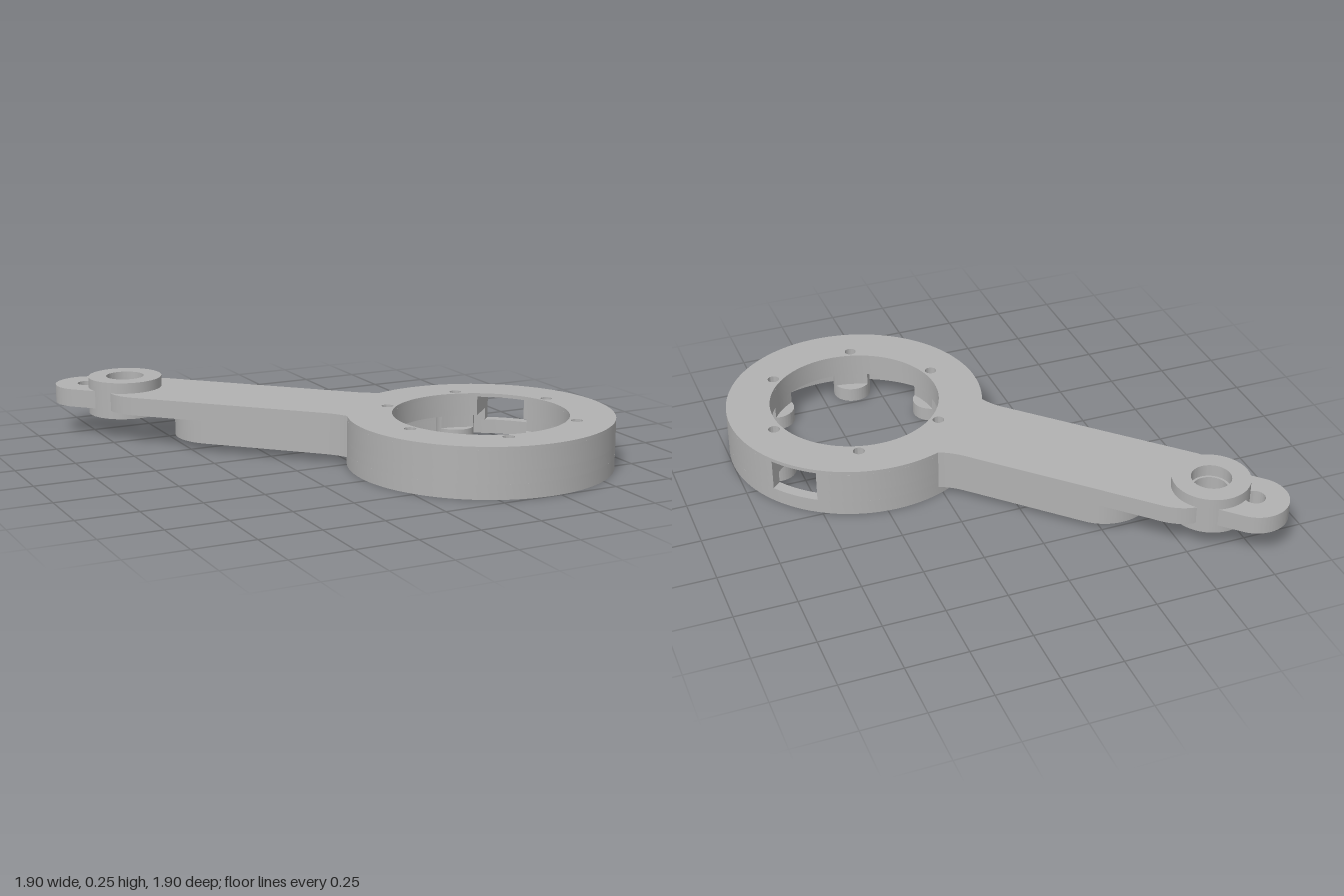
import * as THREE from 'three';
import { toCreasedNormals } from 'three/addons/utils/BufferGeometryUtils.js';

const RING = 0.655;            // ring centre along the arm axis
const R_OUT = 0.537, R_WALL = 0.49, R_IN = 0.355;
const R_BOLT = 0.39, R_BOSS = 0.08, R_SCREW = 0.024;
const HALF = 0.198;            // half width of the arm
const MOUNT = -0.909, TIP = -1.223 + 0.135;

const circle = (x, y, r) => new THREE.Path().absarc(x, y, r, 0, Math.PI * 2, false);

function slab(shape, y0, y1) {
  const g = new THREE.ExtrudeGeometry(shape, { depth: y1 - y0, bevelEnabled: false, curveSegments: 48 });
  g.rotateX(-Math.PI / 2);
  g.translate(0, y0, 0);
  return toCreasedNormals(g, 0.5);
}

function addScrewHoles(shape) {
  for (let i = 0; i < 6; i++) {
    const a = i * Math.PI / 3;
    shape.holes.push(circle(R_BOLT * Math.cos(a), R_BOLT * Math.sin(a), R_SCREW));
  }
  return shape;
}

function annulus(rOut, rIn) {
  const s = new THREE.Shape();
  s.absarc(0, 0, rOut, 0, Math.PI * 2, false);
  s.holes.push(circle(0, 0, rIn));
  return s;
}

// annulus with a parallel-sided opening
function openAnnulus(rOut, rIn, half) {
  const a = Math.asin(half / rOut), b = Math.asin(half / rIn), q = Math.PI / 2, full = Math.PI * 2;
  const s = new THREE.Shape();
  s.absarc(0, 0, rOut, q + a, q - a + full, false);
  s.absarc(0, 0, rIn, q - b + full, q + b, true);
  s.closePath();
  return s;
}

// round-ended arm; the other end flares into the ring
function armShape(endCentre, withTip) {
  const s = new THREE.Shape();
  const a = Math.asin(0.219 / 0.535), q = Math.PI / 2;
  s.moveTo(endCentre, -HALF);
  s.lineTo(0.057, -HALF);
  s.quadraticCurveTo(0.115, -0.198, 0.166, -0.219);
  s.absarc(RING, 0, 0.535, Math.PI + a, Math.PI - a, true);
  s.quadraticCurveTo(0.115, 0.198, 0.057, HALF);
  s.lineTo(endCentre, HALF);
  if (withTip) {
    const w = 0.135, t = Math.asin(w / HALF);
    s.absarc(endCentre, 0, HALF, q, Math.PI - t, false);
    s.absarc(TIP, 0, w, q, 3 * q, false);
    s.absarc(endCentre, 0, HALF, Math.PI + t, 3 * q, false);
  } else {
    s.absarc(endCentre, 0, HALF, q, 3 * q, false);
  }
  return s;
}

export function createModel() {
  const model = new THREE.Group();
  const grey = new THREE.MeshStandardMaterial({ color: 0xb2b2b2 });
  grey.name = 'plain grey';
  const add = (parent, name, geometry) => {
    const m = new THREE.Mesh(geometry, grey);
    m.name = name;
    parent.add(m);
    return m;
  };

  // ring housing: cap, thick shelf, and thin outer wall with a side opening
  const ring = new THREE.Group();
  ring.name = 'ringHousing';
  ring.position.x = RING;
  add(ring, 'ringCap', slab(addScrewHoles(annulus(R_OUT, R_IN)), 0.19, 0.205));
  add(ring, 'ringShelf', slab(addScrewHoles(openAnnulus(R_OUT, R_IN, 0.1)), 0.11, 0.19));
  add(ring, 'ringWallUpper', slab(openAnnulus(R_OUT, R_WALL, 0.1), 0.06, 0.11));
  add(ring, 'ringWallLower', slab(annulus(R_OUT, R_WALL), 0, 0.06));

  // screw posts: full disc below, trimmed to the ring bore above
  const disc = new THREE.Shape();
  disc.absarc(R_BOLT, 0, R_BOSS, 0, Math.PI * 2, false);
  disc.holes.push(circle(R_BOLT, 0, R_SCREW));
  const cutX = (R_BOLT ** 2 + R_IN ** 2 - R_BOSS ** 2) / (2 * R_BOLT);
  const cutY = Math.sqrt(R_IN ** 2 - cutX ** 2);
  const t = Math.atan2(cutY, cutX - R_BOLT), p = Math.atan2(cutY, cutX);
  const neck = new THREE.Shape();
  neck.absarc(R_BOLT, 0, R_BOSS, -t, t, false);
  neck.absarc(0, 0, R_IN, p, -p, true);
  neck.holes.push(circle(R_BOLT, 0, R_SCREW));
  const discGeo = slab(disc, 0, 0.06), neckGeo = slab(neck, 0.06, 0.11);
  for (let i = 0; i < 6; i++) {
    const post = new THREE.Group();
    post.name = 'screwPost';
    add(post, 'postFoot', discGeo);
    add(post, 'postNeck', neckGeo);
    post.rotation.y = i * Math.PI / 3;
    ring.add(post);
  }
  model.add(ring);

  // upper arm plate with the tip lug
  const upper = armShape(-0.78, true);
  upper.holes.push(circle(MOUNT, 0, 0.1), circle(TIP, 0, 0.042));
  add(model, 'armPlate', slab(upper, 0.13, 0.205));

  // lower arm body with a pocket open to the underside
  const lower = armShape(-0.4625, false);
  const pocket = new THREE.Path();
  pocket.moveTo(-0.1, -0.115);
  pocket.lineTo(-0.1, 0.115);
  pocket.lineTo(-0.37, 0.115);
  pocket.absarc(-0.37, 0, 0.115, Math.PI / 2, Math.PI * 1.5, false);
  pocket.closePath();
  lower.holes.push(pocket);
  add(model, 'armBody', slab(lower, 0.035, 0.13));

  // pivot collar with a stepped bore
  const profile = [
    [0.155, 0.095], [0.155, 0.25], [0.08, 0.25], [0.08, 0.2], [0.07, 0.2],
    [0.07, 0.145], [0.08, 0.145], [0.08, 0.095], [0.155, 0.095],
  ].map(([r, y]) => new THREE.Vector2(r, y));
  const collar = add(model, 'pivotCollar', toCreasedNormals(new THREE.LatheGeometry(profile, 64), 0.5));
  collar.position.x = MOUNT;

  // lay the arm along the diagonal
  model.rotation.y = -Math.PI / 4;
  const root = new THREE.Group();
  root.name = 'ringBracket';
  root.add(model);
  return root;
}
